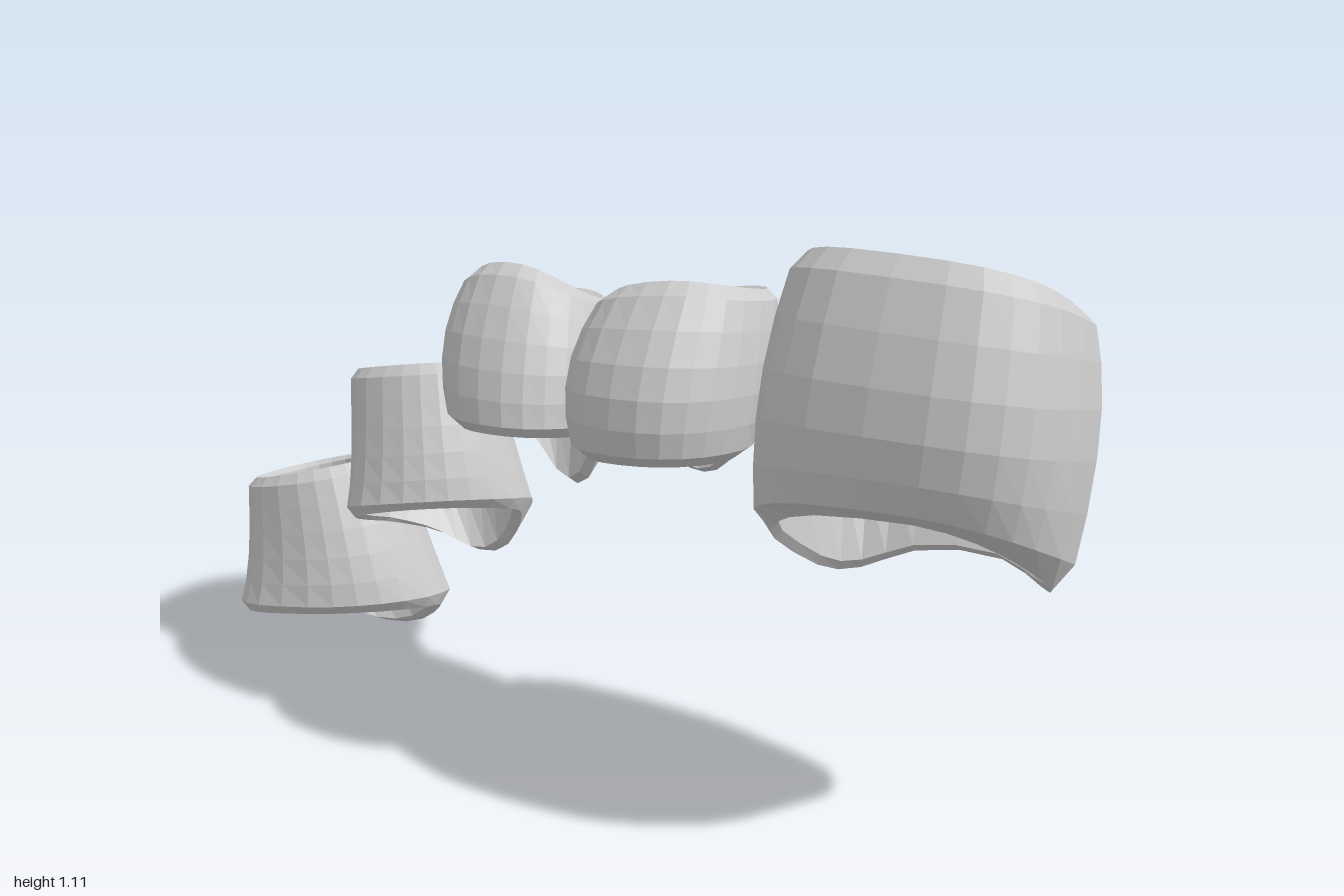
import * as THREE from 'three';

const SIDES = 24;

// Loops down each cuff: top, middle, bottom.
// Each loop: centre x, y, z, radius x, z, tilt along x, z, and arch (sides against front and back).
// Shaping of the lower edge: tip lowers (or raises) its back, pinch narrows it there,
// lip thickens the wall behind, skew stretches it towards the back left corner.
const CUFFS = [
  { name: 'largeCuff', wall: 0.036, square: 0.7, tip: 0.075, pinch: 0.08, lip: 0.03, skew: 0.02, loops: [
    [0.7, 1.025, -0.04, 0.255, 0.21, 0, 0.09, 0],
    [0.715, 0.8, 0.03, 0.285, 0.26, 0.005, 0.065, 0],
    [0.715, 0.54, 0.07, 0.26, 0.205, 0.015, 0.115, -0.012]] },
  { name: 'secondCuff', wall: 0.03, square: 0.85, tip: -0.05, pinch: 0.3, lip: 0.05, skew: 0, loops: [
    [0.175, 0.945, -0.04, 0.155, 0.165, 0.03, 0.035, -0.01],
    [0.185, 0.8, 0.035, 0.18, 0.22, 0.01, 0.03, 0],
    [0.19, 0.645, 0.06, 0.155, 0.195, 0.01, 0.025, 0]] },
  { name: 'middleCuff', wall: 0.03, square: 0.88, tip: -0.13, pinch: 0.25, lip: 0.06, skew: 0, loops: [
    [-0.2, 0.9, -0.08, 0.14, 0.135, 0.01, 0.05, -0.018],
    [-0.175, 0.78, -0.015, 0.168, 0.18, 0, 0.03, 0],
    [-0.145, 0.63, 0.005, 0.152, 0.2, 0.005, 0.03, 0]] },
  { name: 'fourthCuff', wall: 0.03, square: 0.88, tip: -0.065, pinch: 0.3, lip: 0.06, skew: 0.035, loops: [
    [-0.52, 0.675, -0.1, 0.155, 0.135, 0.03, 0.028, 0],
    [-0.465, 0.53, -0.06, 0.16, 0.165, 0.035, 0.03, 0],
    [-0.41, 0.38, -0.03, 0.16, 0.188, 0.03, 0.048, 0]] },
  { name: 'endCuff', wall: 0.033, square: 0.85, tip: -0.05, pinch: 0.2, lip: 0.05, skew: 0.04, loops: [
    [-0.84, 0.388, -0.14, 0.16, 0.16, 0.042, 0.012, 0],
    [-0.785, 0.24, -0.115, 0.185, 0.182, 0.035, 0.015, 0],
    [-0.73, 0.085, -0.09, 0.2, 0.2, 0.02, 0.03, 0]] }
];

// Height down the cuff and inset as a share of the wall, out over the rim,
// down the outside, around the lower bevel and back up the inside.
const SECTION = [
  [0, 0.5], [0.06, 0], [0.22, 0], [0.4, 0], [0.58, 0], [0.76, 0], [0.92, 0],
  [1, 0.7], [0.97, 1.1], [0.75, 1], [0.5, 1], [0.25, 1], [0.02, 1]
];

const rounded = (value, power) => Math.sign(value) * Math.abs(value) ** power;

// Smooth blend through the three loops
function loopAt(loops, v) {
  const a = 2 * (v - 0.5) * (v - 1);
  const b = 4 * v * (1 - v);
  const c = 2 * v * (v - 0.5);
  return loops[0].map((n, k) => n * a + loops[1][k] * b + loops[2][k] * c);
}

function cuffGeometry({ loops, wall, square, tip, pinch, lip, skew }) {
  const positions = [];
  const index = [];
  const rows = SECTION.length;
  SECTION.forEach(([v, inset], i) => {
    const [cx, cy, cz, rx, rz, tiltX, tiltZ, arch] = loopAt(loops, v);
    const low = v ** 3;
    for (let j = 0; j < SIDES; j++) {
      const angle = (j / SIDES) * Math.PI * 2;
      const c = rounded(Math.cos(angle), square);
      const s = rounded(Math.sin(angle), square);
      const back = Math.max(0, -Math.sin(angle));
      positions.push(
        cx + (rx - wall * inset) * c * (1 - pinch * low * back) - skew * low * s,
        cy + tiltX * c + tiltZ * s + arch * Math.cos(2 * angle) + tip * low * back ** 4,
        cz + (rz - wall * inset) * s + lip * inset * low * back - skew * low * c
      );
      const next = (j + 1) % SIDES;
      const below = ((i + 1) % rows) * SIDES;
      const row = i * SIDES;
      index.push(row + j, row + next, below + j, row + next, below + next, below + j);
    }
  });
  const geometry = new THREE.BufferGeometry();
  geometry.setAttribute('position', new THREE.Float32BufferAttribute(positions, 3));
  geometry.setIndex(index);
  geometry.computeVertexNormals();
  return geometry;
}

export function createModel() {
  const group = new THREE.Group();
  group.name = 'cuffSet';
  const grey = new THREE.MeshStandardMaterial({ color: 0xcccccc, flatShading: true });
  grey.name = 'lightGrey';
  for (const cuff of CUFFS) {
    const mesh = new THREE.Mesh(cuffGeometry(cuff), grey);
    mesh.name = cuff.name;
    group.add(mesh);
  }
  return group;
}
